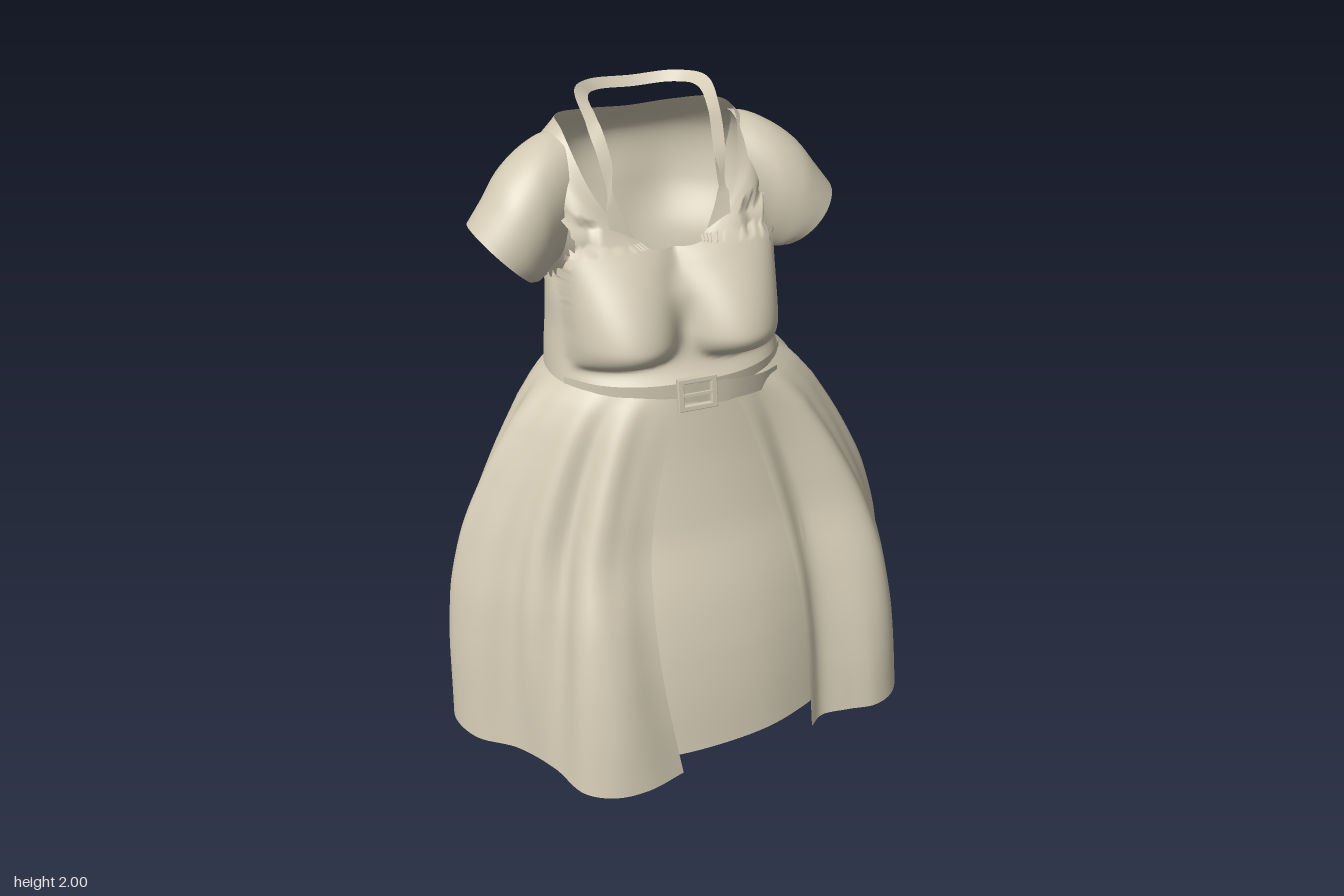
import * as THREE from 'three';

const fabric = new THREE.MeshStandardMaterial({ color: 0xd2c9b3, side: THREE.DoubleSide });
fabric.name = 'beigeFabric';

const V = (x, y, z) => new THREE.Vector3(x, y, z);
const lerp = THREE.MathUtils.lerp;
const bump = (d, w) => Math.exp(-(d * d) / (w * w));

// Smooth surface from fn(u, v) -> Vector3; closed wraps u, skip(center) leaves holes
function surface(name, fn, nu, nv, { closed = false, skip = null } = {}) {
  const cols = closed ? nu : nu + 1;
  const pts = [], index = [];
  for (let j = 0; j <= nv; j++)
    for (let i = 0; i < cols; i++) pts.push(fn(i / nu, j / nv));
  for (let j = 0; j < nv; j++)
    for (let i = 0; i < nu; i++) {
      const a = j * cols + i, b = j * cols + (i + 1) % cols, c = b + cols, d = a + cols;
      if (skip && skip(pts[a].clone().add(pts[c]).multiplyScalar(0.5))) continue;
      index.push(a, b, c, a, c, d);
    }
  const g = new THREE.BufferGeometry().setFromPoints(pts);
  g.setIndex(index);
  g.computeVertexNormals();
  const mesh = new THREE.Mesh(g, fabric);
  mesh.name = name;
  return mesh;
}

// Piecewise linear lookup, smoothed by averaging neighbours
function lookup(table, t) {
  const raw = (s) => {
    s = THREE.MathUtils.clamp(s, 0, 1);
    let i = 1;
    while (i < table.length - 1 && s > table[i][0]) i++;
    const [a, fa] = table[i - 1], [b, fb] = table[i];
    return lerp(fa, fb, (s - a) / (b - a));
  };
  const e = Math.min(0.05, t, 1 - t);
  return (raw(t - e) + 2 * raw(t) + raw(t + e)) / 4;
}

// How far the skirt has spread from waist to hem, sideways and in depth
const WAIST = 1.25;
const sideSpread = [[0, 0], [0.05, 0.2], [0.22, 0.5], [0.39, 0.74], [0.56, 0.88], [0.74, 0.95], [1, 1]];
const depthSpread = [[0, 0], [0.2, 0.15], [0.4, 0.35], [0.55, 0.6], [0.7, 0.78], [0.85, 0.91], [1, 1]];

function drape(angle, rx, rz, hem, hemY, t) {
  return V(
    lerp(rx * Math.sin(angle), hem.x, lookup(sideSpread, t)),
    lerp(WAIST, hemY, t),
    lerp(rz * Math.cos(angle) + 0.01, hem.z, lookup(depthSpread, t)));
}

function buildSkirt(group) {
  // Overskirt hem outline, from the left slit round the back to the right slit
  const hem = new THREE.CatmullRomCurve3([
    [0.3, 0.52], [0.35, 0.485], [0.44, 0.49], [0.53, 0.5], [0.61, 0.46], [0.68, 0.32], [0.71, 0.15], [0.69, 0],
    [0.66, -0.15], [0.58, -0.32], [0.44, -0.455], [0.24, -0.55], [0, -0.61], [-0.2, -0.57], [-0.4, -0.48],
    [-0.55, -0.33], [-0.64, -0.18], [-0.68, -0.05], [-0.71, 0.08], [-0.67, 0.2], [-0.57, 0.29],
    [-0.49, 0.42], [-0.44, 0.55], [-0.36, 0.6], [-0.26, 0.605], [-0.14, 0.57],
  ].map(([x, z]) => V(x, 0, z)));
  group.add(surface('overskirt', (u, t) => {
    const h = hem.getPoint(u);
    let a = Math.atan2(h.x, h.z);
    if (a < 0.3) a += Math.PI * 2;
    const hemY = 0.15 - 0.15 * Math.pow(Math.max(0, (0.6 - h.z) / 1.21), 2.2);
    const p = drape(0.27 + (a - 0.523) * 1.07, 0.345, 0.27, h, hemY, t);
    // hanging folds, softer at the back
    const front = 0.35 + 0.65 * (0.5 + 0.5 * Math.cos(a));
    const fold = Math.sin(Math.PI * Math.pow(t, 0.8)) * Math.min(1, 14 * u, 14 * (1 - u)) * front
      * (0.022 * Math.cos(a * 13 + 0.5) + 0.01 * Math.cos(a * 21 + 2 * t));
    p.x += Math.sin(a) * fold;
    p.z += Math.cos(a) * fold;
    // the right slit edge bows outward
    p.x -= 0.06 * Math.sin(Math.PI * t) * bump(1 - u, 0.06);
    return p;
  }, 180, 40));

  // Front panel behind the slit
  const panelHem = new THREE.CatmullRomCurve3([
    [-0.32, 0.53], [-0.16, 0.555], [0, 0.555], [0.15, 0.535], [0.28, 0.49], [0.38, 0.44],
  ].map(([x, z]) => V(x, 0, z)));
  group.add(surface('frontPanel', (u, t) =>
    drape(lerp(-0.6, 0.6, u), 0.34, 0.26, panelHem.getPoint(u), 0.21, t), 24, 30));
}

// Distance from the armhole centre, 1 on its edge
const ARM = { y: 1.62, z: -0.055, ry: 0.1, rz: 0.135 };
const armRadius = (p) => Math.abs(p.x) < 0.22 ? 9
  : Math.hypot((p.z - ARM.z) / ARM.rz, (p.y - ARM.y) / ARM.ry);

// Depth of a teardrop bust cup at (x, y), or null outside it
function cupDepth(x, y) {
  const across = 1 - ((Math.abs(x) - 0.15) / 0.158) ** 2;
  const drop = (1.385 - y) / 0.095, rise = (y - 1.385) / 0.24;
  if (across <= 0 || drop >= 1 || rise >= 1) return null;
  const tall = drop > 0 ? Math.sqrt(1 - drop * drop) : 1 - 0.75 * Math.pow(rise, 1.4);
  return 0.06 + 0.225 * Math.sqrt(across) * tall;
}

function buildBodice(group) {
  // Lower rings: [height, half width, front depth, back depth]
  const rings = [
    [1.23, 0.347, 0.278, 0.262], [1.31, 0.343, 0.21, 0.275], [1.4, 0.335, 0.19, 0.29], [1.5, 0.33, 0.175, 0.315],
  ].map(([y, rx, zf, zb]) => Array.from({ length: 8 }, (_, i) => {
    const a = i * Math.PI / 7, c = Math.cos(a);
    return V(rx * Math.sin(a), y, c * (c > 0 ? zf : zb));
  }));
  // Upper rings rise over the shoulders to the neckline; front centre to back centre
  rings.push(...[
    [[0, 1.57, 0.125], [0.08, 1.575, 0.135], [0.16, 1.595, 0.125], [0.27, 1.62, 0.075],
      [0.325, 1.66, -0.07], [0.31, 1.64, -0.22], [0.16, 1.64, -0.34], [0, 1.64, -0.345]],
    [[0, 1.595, 0.105], [0.075, 1.605, 0.11], [0.14, 1.65, 0.085], [0.25, 1.75, 0.03],
      [0.305, 1.85, -0.1], [0.295, 1.8, -0.25], [0.16, 1.79, -0.345], [0, 1.79, -0.365]],
    [[0, 1.61, 0.09], [0.07, 1.62, 0.09], [0.13, 1.66, 0.07], [0.2, 1.75, 0.03],
      [0.25, 1.905, -0.09], [0.235, 1.915, -0.2], [0.13, 1.9, -0.265], [0, 1.89, -0.28]],
  ].map((ring) => ring.map((p) => V(...p))));
  const loops = rings.map((half) => new THREE.CatmullRomCurve3(
    [...half, ...half.slice(1, -1).reverse().map((p) => V(-p.x, p.y, p.z))], true));

  group.add(surface('bodice', (u, v) => {
    const p = new THREE.CatmullRomCurve3(loops.map((l) => l.getPoint(u))).getPoint(v);
    // bust cups blended softly into the chest
    const cup = p.z > 0 ? cupDepth(p.x, p.y) : null;
    if (cup !== null) p.z = (p.z + cup + Math.hypot(p.z - cup, 0.02)) / 2;
    // pull nearby points onto the armhole edge for a clean cut
    const r = armRadius(p);
    if (r > 0.84 && r < 1.16) {
      p.y = ARM.y + (p.y - ARM.y) / r;
      p.z = ARM.z + (p.z - ARM.z) / r;
    }
    return p;
  }, 128, 60, { closed: true, skip: (p) => armRadius(p) < 0.97 }));
}

// Cap sleeve: sections as [top x, top y, bottom x, bottom y, centre z, half depth]
function buildSleeve(side) {
  const sections = [
    [0.25, 1.895, 0.28, 1.53, -0.125, 0.135], [0.3, 1.888, 0.308, 1.515, -0.115, 0.148],
    [0.36, 1.862, 0.325, 1.505, -0.098, 0.153], [0.43, 1.81, 0.337, 1.505, -0.078, 0.145],
    [0.48, 1.745, 0.35, 1.505, -0.063, 0.133], [0.53, 1.68, 0.365, 1.51, -0.055, 0.122],
  ];
  return surface(side > 0 ? 'leftSleeve' : 'rightSleeve', (u, v) => {
    const a = u * Math.PI * 2;
    const path = sections.map(([tx, ty, bx, by, z, r]) => {
      const k = 0.5 + 0.5 * Math.cos(a);
      return V(side * lerp(bx, tx, k), lerp(by, ty, k), z + r * Math.sin(a));
    });
    return new THREE.CatmullRomCurve3(path).getPoint(v);
  }, 40, 20, { closed: true });
}

// Ribbon along a path with its own width vector at each point
function ribbon(name, path, widths, n) {
  const mid = new THREE.CatmullRomCurve3(path), wide = new THREE.CatmullRomCurve3(widths);
  return surface(name, (u, v) => mid.getPoint(u).addScaledVector(wide.getPoint(u), v - 0.5), n, 2);
}

function buildNeckStrap() {
  const path = [[0.14, 1.65, 0.08], [0.16, 1.73, 0.055], [0.163, 1.84, 0.015], [0.175, 1.93, -0.06],
    [0.175, 1.98, -0.15], [0.12, 1.98, -0.22], [0, 1.972, -0.242]];
  const widths = [[0.07, 0.02, 0], [0.035, 0, 0], [0.035, 0, 0], [0.035, 0, 0],
    [0.035, 0.02, -0.01], [0.018, 0.026, -0.02], [0, 0.026, -0.022]];
  const mirror = (list) => [...list.map((p) => V(...p)),
    ...list.slice(0, -1).reverse().map(([x, y, z]) => V(-x, y, z))];
  return ribbon('neckStrap', mirror(path), mirror(widths), 72);
}

function buildBelt(group) {
  const at = (a, y, r = 0) => V((0.35 + r) * Math.sin(a), y, (0.283 + r) * Math.cos(a));
  // Band wrapped over the front of the waist, and its loose end
  const angles = [-1.2, -0.8, -0.4, 0, 0.4, 0.8, 1.2];
  group.add(ribbon('belt', angles.map((a) => at(a, 1.255)),
    angles.map((a) => V(0, lerp(0.065, 0.03, Math.abs(a) / 1.2), 0)), 40));
  group.add(ribbon('beltEnd', [at(0, 1.25, 0.008), at(0.3, 1.245, 0.018), at(0.6, 1.23, 0.02), at(0.85, 1.22, 0.02)],
    [V(0, 0.06, 0), V(0, 0.06, 0), V(0, 0.055, 0), V(0, 0.05, 0)], 20));

  // Buckle frame with a prong
  const rect = (Kind, w, h) => new Kind().setFromPoints(
    [[-w, -h], [w, -h], [w, h], [-w, h]].map(([x, y]) => new THREE.Vector2(x, y)));
  const frame = rect(THREE.Shape, 0.055, 0.045);
  frame.holes.push(rect(THREE.Path, 0.042, 0.034));
  const buckle = new THREE.Group();
  buckle.name = 'buckle';
  const rim = new THREE.Mesh(new THREE.ExtrudeGeometry(frame,
    { depth: 0.01, bevelSize: 0.003, bevelThickness: 0.003, bevelSegments: 2 }), fabric);
  rim.name = 'buckleFrame';
  const prong = new THREE.Mesh(new THREE.BoxGeometry(0.09, 0.008, 0.008), fabric);
  prong.name = 'buckleProng';
  prong.position.z = 0.012;
  buckle.add(rim, prong);
  buckle.position.set(-0.005, 1.258, 0.293);
  buckle.rotation.x = -0.15;
  group.add(buckle);
}

export function createModel() {
  const dress = new THREE.Group();
  dress.name = 'dress';
  buildSkirt(dress);
  buildBodice(dress);
  dress.add(buildSleeve(1), buildSleeve(-1), buildNeckStrap());
  buildBelt(dress);
  return dress;
}
